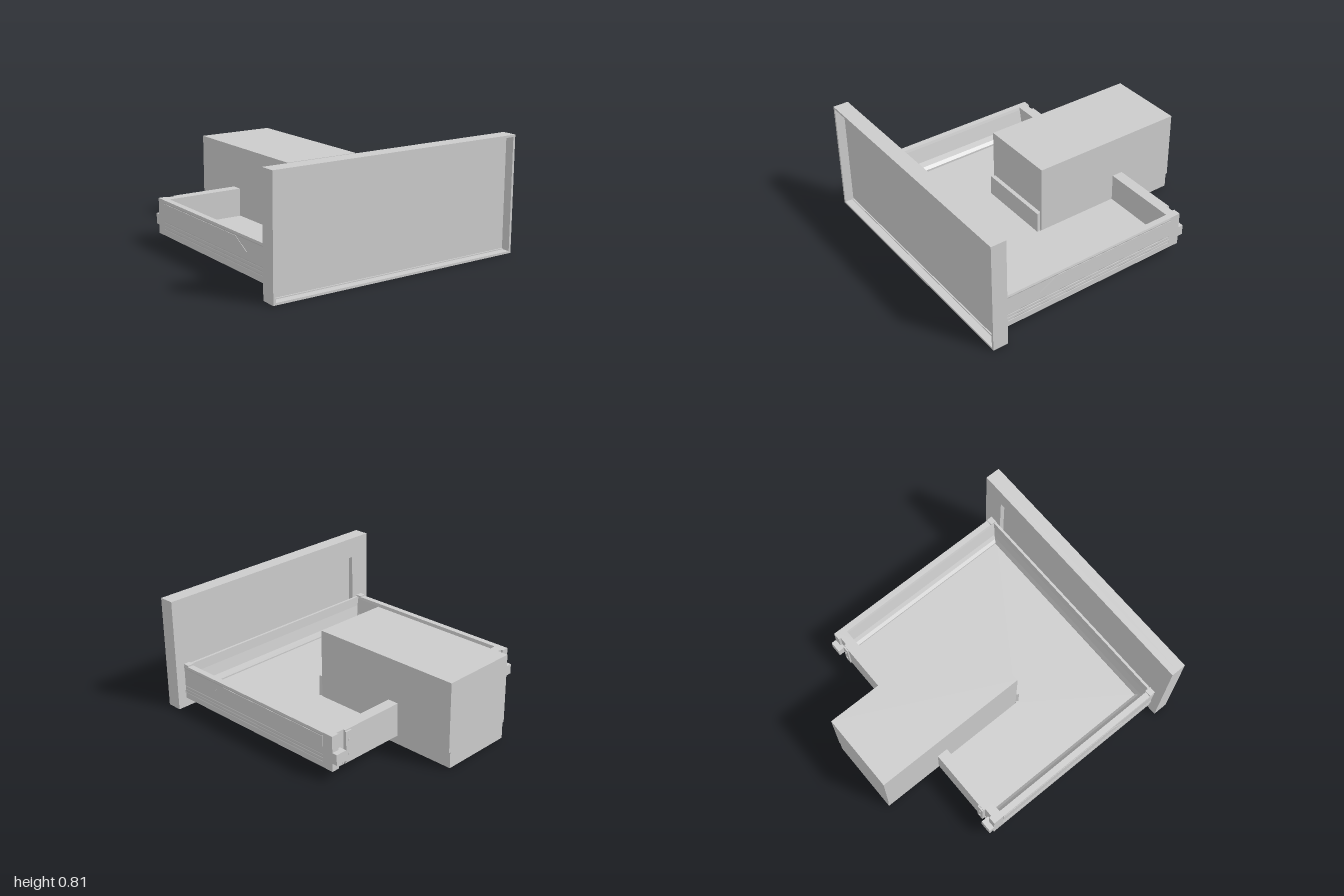
import * as THREE from 'three';

const material = new THREE.MeshStandardMaterial({ color: 0xcccccc, flatShading: true });

export function createModel() {
  const model = new THREE.Group();

  const add = (name, geometry) => {
    const mesh = new THREE.Mesh(geometry, material);
    mesh.name = name;
    model.add(mesh);
    return mesh;
  };

  // Box given by its minimum and maximum corners
  const box = (name, x0, x1, y0, y1, z0, z1) =>
    add(name, new THREE.BoxGeometry(x1 - x0, y1 - y0, z1 - z0)
      .translate((x0 + x1) / 2, (y0 + y1) / 2, (z0 + z1) / 2));

  const polygon = (points) => new THREE.Shape(points.map(([x, y]) => new THREE.Vector2(x, y)));
  const rectangle = (w, y0, y1) => [[-w, y0], [w, y0], [w, y1], [-w, y1]];
  const extrude = (shape, depth) => new THREE.ExtrudeGeometry(shape, { depth, bevelEnabled: false });

  // Outline in x and z, filled downward from the given top height
  const slab = (name, points, top, thickness) =>
    add(name, extrude(polygon(points), thickness).rotateX(Math.PI / 2).translate(0, top, 0));

  // Front panel: rim, thin sheet, and rear frame with an opening
  const ring = (name, holePoints, z0, z1) => {
    const shape = polygon(rectangle(0.95, 0, 0.813));
    shape.holes.push(polygon(holePoints));
    add(name, extrude(shape, z1 - z0).translate(0, 0, z0));
  };
  ring('frontPanelRim', rectangle(0.933, 0.015, 0.798), 0.935, 1);
  box('frontPanelSheet', -0.95, 0.95, 0, 0.813, 0.925, 0.935);
  ring('frontPanelRearFrame', rectangle(0.79, 0.15, 0.66), 0.89, 0.925);
  box('frontPanelInnerBead', -0.93, 0.93, 0.015, 0.022, 0.935, 0.945);

  // Drawer floor, cut out around the central housing
  slab('drawerFloor', [
    [-0.78, 0.86], [-0.78, -0.55], [-0.28, -0.55], [-0.28, 0.15],
    [0.28, 0.15], [0.28, -0.55], [0.78, -0.55], [0.78, 0.86],
  ], 0.12, 0.045);

  // Drawer front wall, its inner face sloping towards the floor
  const frontWall = polygon([
    [-0.89, 0.1], [-0.84, 0.1], [-0.84, 0.13], [-0.855, 0.17], [-0.868, 0.25], [-0.872, 0.32], [-0.89, 0.32],
  ]);
  add('drawerFrontWall', extrude(frontWall, 1.68).rotateY(Math.PI / 2).translate(-0.84, 0, 0));

  // Central housing with a slightly narrower base and a skirt at its front
  box('housing', -0.282, 0.282, 0.125, 0.62, -1, 0.14);
  box('housingBase', -0.27, 0.27, 0.01, 0.125, -1, 0.14);
  slab('housingSkirt', [[-0.28, 0.17], [-0.265, 0.135], [0.265, 0.135], [0.28, 0.17]], 0.27, 0.16);

  // Side rail cross-section: finely grooved outside, sloped inside
  const railProfile = [
    [0.842, 0.32], [0.836, 0.3], [0.812, 0.19], [0.795, 0.155], [0.775, 0.135], [0.775, 0.105],
    [0.865, 0.105], [0.865, 0.07], [0.885, 0.07],
    ...[0.11, 0.135, 0.16].flatMap((y) => [[0.885, y], [0.883, y + 0.005], [0.885, y + 0.01]]),
    [0.885, 0.297], [0.888, 0.305], [0.885, 0.32],
  ];

  for (const side of [-1, 1]) {
    const prefix = side > 0 ? 'left' : 'right';
    const sideBox = (name, x0, x1, ...rest) =>
      box(prefix + name, Math.min(side * x0, side * x1), Math.max(side * x0, side * x1), ...rest);

    const points = railProfile.map(([x, y]) => [side * x, y]);
    add(prefix + 'SideRail', extrude(polygon(points), 1.365).translate(0, 0, -0.48));

    // Cover plate with a slanted front end
    const plate = polygon([[-0.48, 0.22], [0.6, 0.22], [0.47, 0.295], [-0.48, 0.295]]);
    add(prefix + 'CoverPlate', extrude(plate, 0.004).rotateY(-Math.PI / 2)
      .translate(side > 0 ? 0.888 : -0.884, 0, 0));

    // Back wall beside the housing, with its mounting plate
    sideBox('BackWall', 0.282, 0.77, 0.08, 0.32, -0.56, -0.48);
    sideBox('BackPlate', 0.72, 0.77, 0.09, 0.31, -0.57, -0.56);
    for (const y of [0.15, 0.25]) {
      add(prefix + 'BackScrew', new THREE.CylinderGeometry(0.008, 0.008, 0.006, 10)
        .rotateX(Math.PI / 2).translate(side * 0.745, y, -0.572));
    }

    // Rear corner bracket and runner end
    sideBox('RearBracket', 0.77, 0.885, 0.07, 0.32, -0.545, -0.48);
    sideBox('RearBracketFlange', 0.83, 0.885, 0.07, 0.32, -0.562, -0.545);
    sideBox('RunnerEnd', 0.8, 0.885, 0.13, 0.205, -0.6, -0.545);

    // Mitred front corner, its cap and small underside clips
    slab(prefix + 'FrontCorner',
      [[0.78, 0.84], [0.835, 0.84], [0.89, 0.89], [0.78, 0.89]].map(([x, z]) => [side * x, z]), 0.135, 0.03);
    sideBox('FrontCornerCap', 0.835, 0.885, 0.32, 0.33, 0.845, 0.89);
    sideBox('FrontFoot', 0.82, 0.86, 0.055, 0.105, 0.86, 0.89);
    sideBox('RailClip', 0.78, 0.81, 0.055, 0.105, 0.27, 0.36);
    sideBox('FrontClip', 0.39, 0.43, 0.06, 0.08, 0.79, 0.83);
  }

  return model;
}
